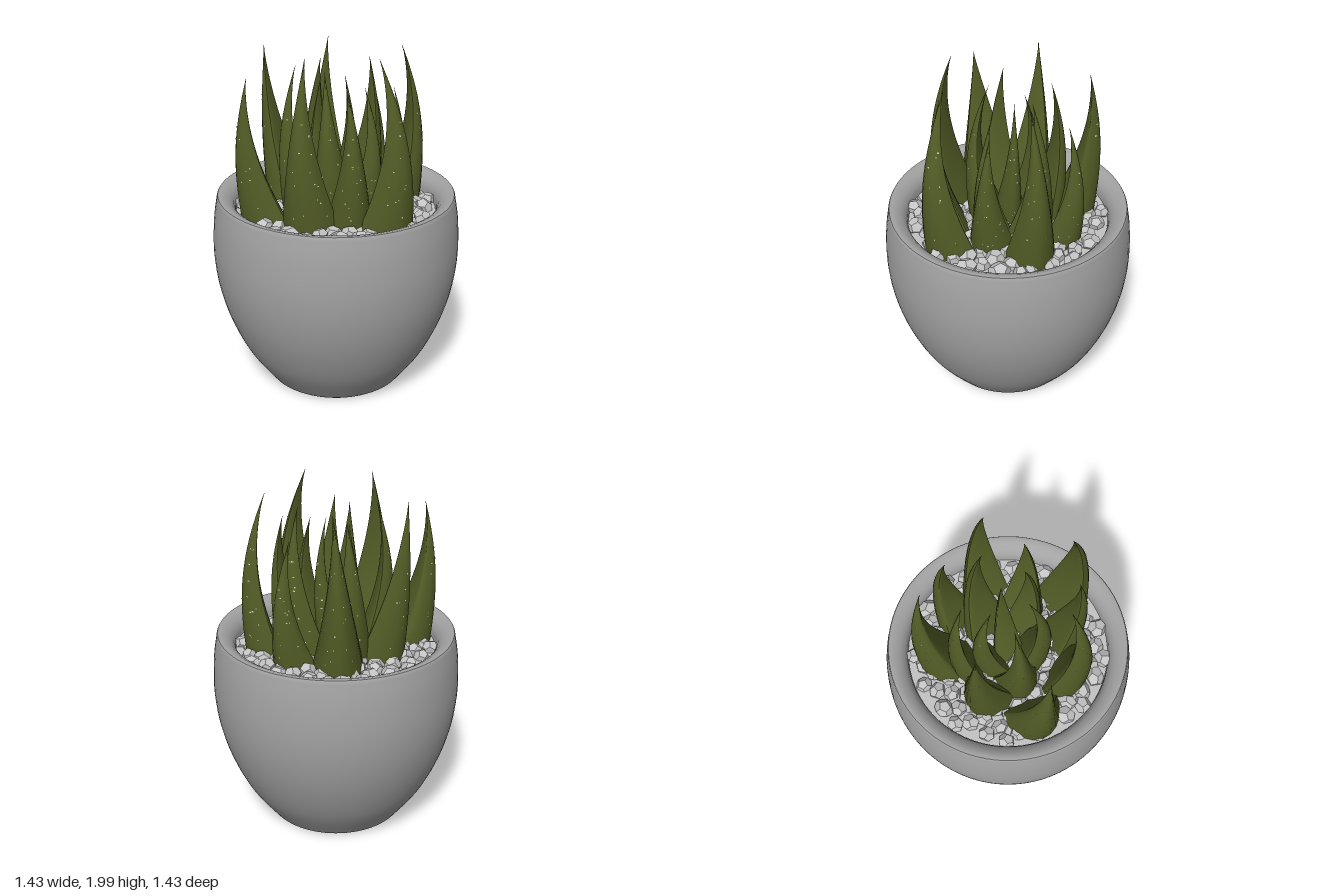
import * as THREE from 'three';
import { mergeGeometries, toCreasedNormals } from 'three/addons/utils/BufferGeometryUtils.js';

const potGrey = new THREE.MeshStandardMaterial({ color: 0xa3a3a3 });
potGrey.name = 'potGrey';
const leafGreen = new THREE.MeshStandardMaterial({ color: 0x525c26 });
leafGreen.name = 'leafGreen';
const stoneWhite = new THREE.MeshStandardMaterial({ color: 0xc4c4c4 });
stoneWhite.name = 'stoneWhite';
const fleckWhite = new THREE.MeshStandardMaterial({ color: 0xc9cdb4, side: THREE.DoubleSide });
fleckWhite.name = 'fleckWhite';

// Leaves: base centre x, z, width, depth, then tip x, y, z
const LEAVES = [
  [0.17, -0.37, 0.29, 0.22, 0.21, 1.95, -0.38],
  [-0.18, -0.29, 0.31, 0.20, -0.24, 1.96, -0.36],
  [-0.45, -0.12, 0.34, 0.22, -0.51, 1.86, -0.10],
  [-0.345, 0.195, 0.34, 0.19, -0.31, 1.99, 0.16],
  [-0.125, 0.33, 0.27, 0.17, -0.16, 1.84, 0.33],
  [0.055, 0.47, 0.35, 0.19, 0.0, 1.99, 0.39],
  [0.43, 0.11, 0.29, 0.18, 0.37, 1.97, 0.11],
  [0.37, -0.15, 0.26, 0.17, 0.35, 1.77, -0.15],
  [0.05, -0.27, 0.30, 0.14, 0.06, 1.87, -0.24],
  [0.0, -0.15, 0.25, 0.14, -0.02, 1.80, -0.12],
  [-0.225, -0.08, 0.26, 0.17, -0.20, 1.89, -0.10],
  [-0.115, 0.11, 0.28, 0.16, -0.11, 1.87, 0.05],
  [0.04, 0.01, 0.18, 0.15, 0.06, 1.82, 0.0],
  [0.235, -0.03, 0.29, 0.18, 0.23, 1.90, 0.0],
  [0.08, 0.19, 0.24, 0.15, 0.08, 1.78, 0.16],
  [0.20, 0.26, 0.27, 0.15, 0.21, 1.78, 0.25],
];
const BASE_Y = 1.04;

function seeded(seed) {
  return () => {
    seed = (seed * 16807) % 2147483647;
    return seed / 2147483647;
  };
}

function polygons(points, index) {
  const g = new THREE.BufferGeometry();
  g.setAttribute('position', new THREE.Float32BufferAttribute(points.flatMap((p) => p.toArray()), 3));
  g.setIndex(index);
  g.computeVertexNormals();
  return g;
}

// Point on a leaf at height t (0 base, 1 tip) and angle a (0 faces outward)
function leafSurface([cx, cz, w, d, tx, ty, tz]) {
  const theta = Math.atan2(cz, cx);
  const n = new THREE.Vector3(Math.cos(theta), 0, Math.sin(theta));
  const u = new THREE.Vector3(-Math.sin(theta), 0, Math.cos(theta));
  const base = new THREE.Vector3(cx, 0, cz).addScaledVector(n, d / 2 - 0.015);
  const tip = new THREE.Vector3(tx, 0, tz);
  return (t, a, lift = 0) => {
    const f = Math.max(Math.pow(1 - t, 1.2), 0.006);
    const c = Math.cos(a);
    const radial = c > 0 ? c : c * 0.12;
    const p = base.clone().lerp(tip, Math.pow(t, 2.4));
    p.addScaledVector(n, 0.03 * Math.sin(Math.PI * t) + (radial - 1) * d * f + lift * c);
    p.addScaledVector(u, Math.sin(a) * (w * f / 2 + lift));
    p.y = BASE_Y + (ty - BASE_Y) * t;
    return p;
  };
}

function leafGeometry(surface) {
  const rows = 22, sides = 20, points = [], index = [];
  for (let i = 0; i <= rows; i++) {
    for (let j = 0; j < sides; j++) points.push(surface(i / rows, (j / sides) * Math.PI * 2));
  }
  for (let i = 0; i < rows; i++) {
    for (let j = 0; j < sides; j++) {
      const a = i * sides + j, b = i * sides + (j + 1) % sides;
      index.push(a, a + sides, b, b, a + sides, b + sides);
    }
  }
  return toCreasedNormals(polygons(points, index), 0.9);
}

// Small pale dashes lying in broken rows across the outer face
function fleckGeometry(surface, width, random) {
  const points = [], index = [];
  for (let row = 0; row < 7; row++) {
    for (let k = 0; k < 3; k++) {
      const t = 0.12 + row * 0.09 + random() * 0.035;
      const a = (random() - 0.5) * 2.4;
      const da = (0.004 + random() * 0.006) / (width * (1 - t));
      const dt = 0.002 + random() * 0.003;
      const s = points.length;
      points.push(surface(t - dt, a - da, 0.003), surface(t + dt, a - da, 0.003),
        surface(t + dt, a + da, 0.003), surface(t - dt, a + da, 0.003));
      index.push(s, s + 1, s + 2, s, s + 2, s + 3);
    }
  }
  return polygons(points, index);
}

// Angular pebbles packed in a spiral
function gravelGeometry() {
  const random = seeded(4711), stones = [], count = 125;
  for (let i = 0; i < count; i++) {
    const r = 0.55 * Math.sqrt((i + 0.5) / count), a = i * 2.39996;
    const g = new THREE.DodecahedronGeometry(1);
    g.rotateX(random() * 6).rotateZ(random() * 6);
    g.scale(0.045 + random() * 0.02, 0.04 + random() * 0.012, 0.042 + random() * 0.014);
    g.rotateY(random() * 6);
    g.translate(r * Math.cos(a), 1.055 + random() * 0.015, r * Math.sin(a));
    g.computeVertexNormals();
    stones.push(g);
  }
  return mergeGeometries(stones);
}

function potGeometry() {
  const wall = new THREE.SplineCurve([
    [0.41, 0.015], [0.54, 0.2], [0.633, 0.4], [0.69, 0.6], [0.713, 0.8], [0.705, 1.0], [0.682, 1.145],
  ].map(([x, y]) => new THREE.Vector2(x, y))).getPoints(36);
  const profile = [[0, 0], [0.375, 0], [0.395, 0.004]].map(([x, y]) => new THREE.Vector2(x, y));
  const rim = [[0.677, 1.153], [0.665, 1.155], [0.64, 1.148], [0.61, 1.13], [0.588, 1.105], [0.577, 1.075], [0.573, 1.0]]
    .map(([x, y]) => new THREE.Vector2(x, y));
  return toCreasedNormals(new THREE.LatheGeometry([...profile, ...wall, ...rim], 80), 0.75);
}

export function createModel() {
  const model = new THREE.Group();
  model.name = 'pottedSucculent';
  const add = (parent, geometry, material, name) => {
    const mesh = new THREE.Mesh(geometry, material);
    mesh.name = name;
    parent.add(mesh);
    return mesh;
  };

  add(model, potGeometry(), potGrey, 'pot');

  // Gravel bed and pebbles
  add(model, new THREE.CylinderGeometry(0.574, 0.574, 0.04, 64), stoneWhite, 'gravelBed').position.y = 1.03;
  add(model, gravelGeometry(), stoneWhite, 'pebbles');

  // Rosette of pointed leaves
  const random = seeded(97);
  LEAVES.forEach((spec, i) => {
    const leaf = new THREE.Group();
    leaf.name = `leaf${i + 1}`;
    const surface = leafSurface(spec);
    add(leaf, leafGeometry(surface), leafGreen, 'leafBlade');
    add(leaf, fleckGeometry(surface, spec[2], random), fleckWhite, 'leafFlecks');
    model.add(leaf);
  });
  return model;
}
